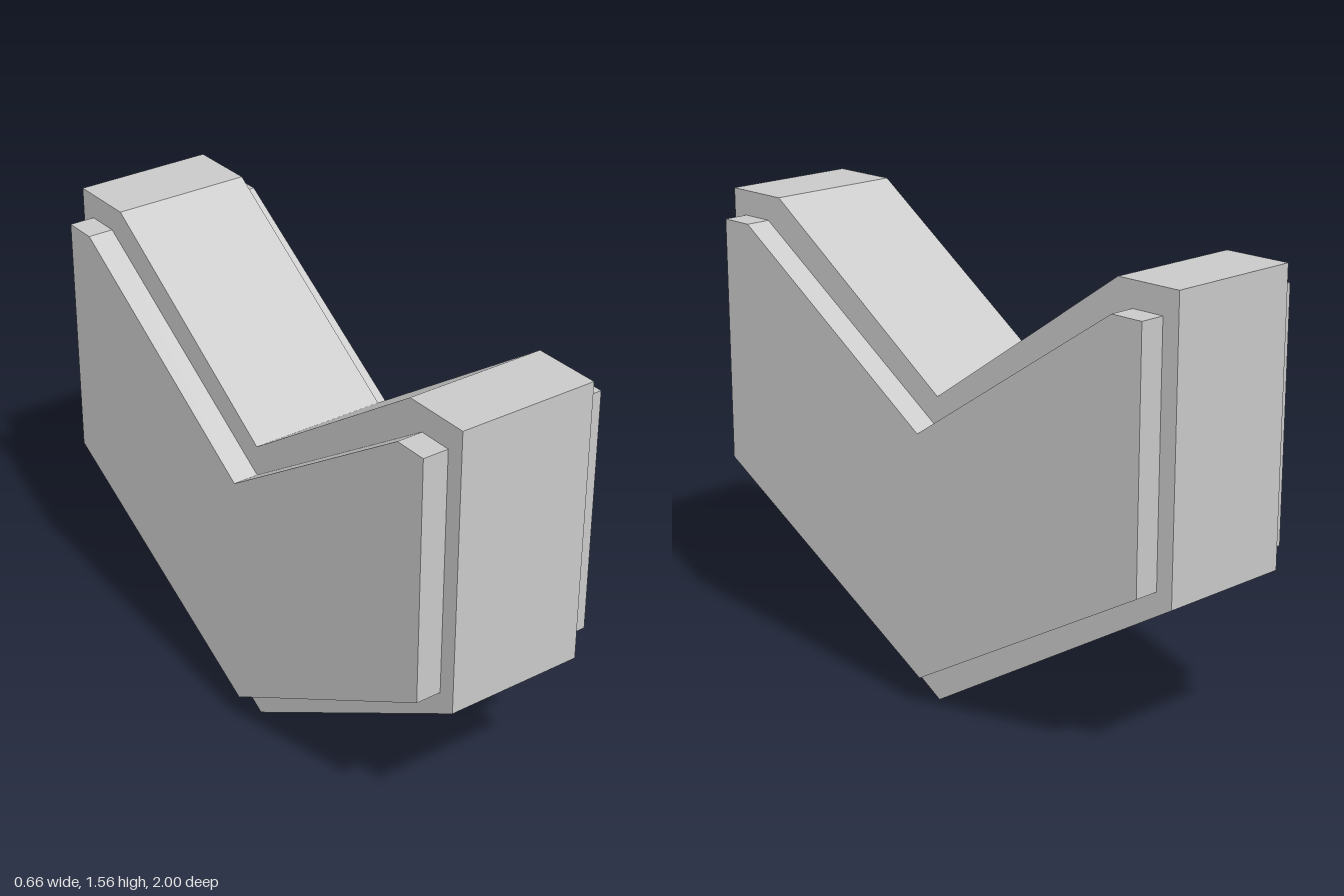
import * as THREE from 'three';

const material = new THREE.MeshStandardMaterial({ color: 0xcccccc, flatShading: true });

// Extrudes a chevron, mirrored about z = 0, across the x range [x0, x1].
// half lists [z, y] points from the bottom tip to the top notch.
function chevron(name, half, x0, x1) {
  const mirrored = half.slice(1, -1).reverse().map(([z, y]) => [-z, y]);
  const points = [...half, ...mirrored].map(([z, y]) => new THREE.Vector2(z, y));
  const geometry = new THREE.ExtrudeGeometry(new THREE.Shape(points), {
    depth: x1 - x0,
    bevelEnabled: false,
  });
  geometry.rotateY(Math.PI / 2);
  geometry.translate(x0, 0, 0);
  const mesh = new THREE.Mesh(geometry, material);
  mesh.name = name;
  return mesh;
}

export function createModel() {
  const group = new THREE.Group();
  group.name = 'chevronBlock';

  // Thick central body
  const core = [[0, 0], [1, 0.6], [1, 1.563], [0.765, 1.563], [0, 1.04]];
  group.add(chevron('coreBody', core, -0.24, 0.24));

  // Smaller raised panel on each side
  const panel = [[0, 0.103], [0.94, 0.642], [0.94, 1.478], [0.823, 1.478], [0, 0.936]];
  group.add(chevron('leftPanel', panel, 0.24, 0.328));
  group.add(chevron('rightPanel', panel, -0.328, -0.24));

  return group;
}
